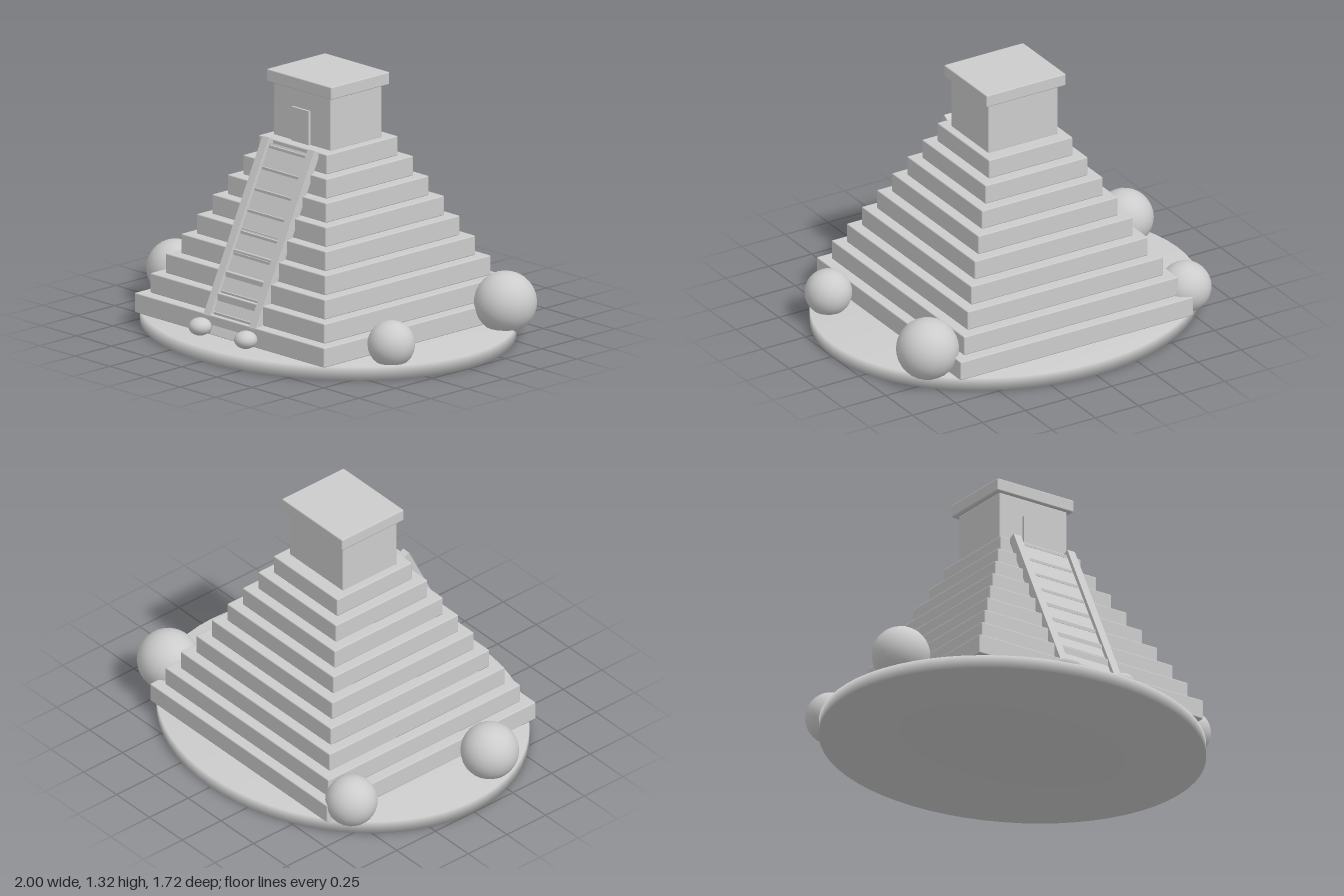
import * as THREE from 'three';
import { mergeVertices } from 'three/addons/utils/BufferGeometryUtils.js';
import { RoundedBoxGeometry } from 'three/addons/geometries/RoundedBoxGeometry.js';

const stone = new THREE.MeshStandardMaterial({ color: 0xcccccc });
stone.name = 'pale stone';

export function createModel() {
  const model = new THREE.Group();
  model.name = 'stepPyramid';

  const add = (name, geometry, x, y, z) => {
    const mesh = new THREE.Mesh(geometry, stone);
    mesh.name = name;
    mesh.position.set(x, y, z);
    model.add(mesh);
    return mesh;
  };
  // Softly edged block standing on the given height
  const block = (name, w, h, d, x, y, z) =>
    add(name, new RoundedBoxGeometry(w, h, d, 1, 0.006), x, y + h / 2, z);

  // Oval ground slab with softened rim shading
  let slab = new THREE.CylinderGeometry(1, 1, 0.07, 64);
  slab.scale(1, 1, 0.858);
  slab.deleteAttribute('normal');
  slab.deleteAttribute('uv');
  slab = mergeVertices(slab);
  slab.computeVertexNormals();
  add('ground', slab, 0, 0.035, 0);

  // Nine shrinking tiers
  const step = 0.1017;
  for (let i = 0; i < 9; i++) {
    const w = 2 * (0.675 - 0.054 * i);
    block('tier' + (i + 1), w, step, w, 0, 0.07 + step * i, 0);
  }

  // Temple on the summit
  block('templeWalls', 0.405, 0.275, 0.35, 0, 0.982, 0.003);
  block('templeRoof', 0.46, 0.065, 0.4, 0, 1.255, 0);
  add('door', new THREE.BoxGeometry(0.125, 0.176, 0.03), -0.003, 1.072, 0.175);

  // Staircase: boxes lying along the slope, s measured down from its top edge
  const tilt = Math.atan2(0.4, 0.83);
  const c = Math.cos(tilt), s = Math.sin(tilt);
  const sloped = (name, x, w, thick, s0, s1, inset) => {
    const along = (s0 + s1) / 2, deep = inset + thick / 2;
    const mesh = add(name, new THREE.BoxGeometry(w, s1 - s0, thick),
      x, 1.0 - along * c - deep * s, 0.272 + along * s - deep * c);
    mesh.rotation.x = -tilt;
  };
  for (const side of [-1, 1]) sloped('stairRail', side * 0.162, 0.046, 0.045, 0, 0.93, 0);
  sloped('stairRamp', 0, 0.28, 0.03, 0.02, 0.93, 0.018);
  sloped('stairFoot', 0, 0.22, 0.04, 0.965, 1.01, 0.01);
  for (let i = 0; i < 9; i++) {
    const y = 0.957 - 0.1 * i + (i > 6 ? 0.02 : 0);
    const z = 0.272 + (1.0 - y) * s / c - 0.03;
    add('stairTread', new THREE.BoxGeometry(0.265, 0.014, 0.03), 0, y, z);
  }

  // Flattened stones at the foot of the stairs
  for (const x of [-0.165, 0.16]) {
    add('stairStone', new THREE.SphereGeometry(0.058, 20, 14), x, 0.115, 0.716)
      .scale.set(1, 0.76, 1);
  }

  // Round bushes around the pyramid: x, y, z, radius
  for (const [x, y, z, r] of [
    [-0.84, 0.176, 0.237, 0.145],
    [0.81, 0.157, 0.345, 0.118],
    [-0.708, 0.166, -0.545, 0.13],
    [0.752, 0.19, -0.49, 0.156],
  ]) add('bush', new THREE.IcosahedronGeometry(r, 4), x, y, z);

  return model;
}
